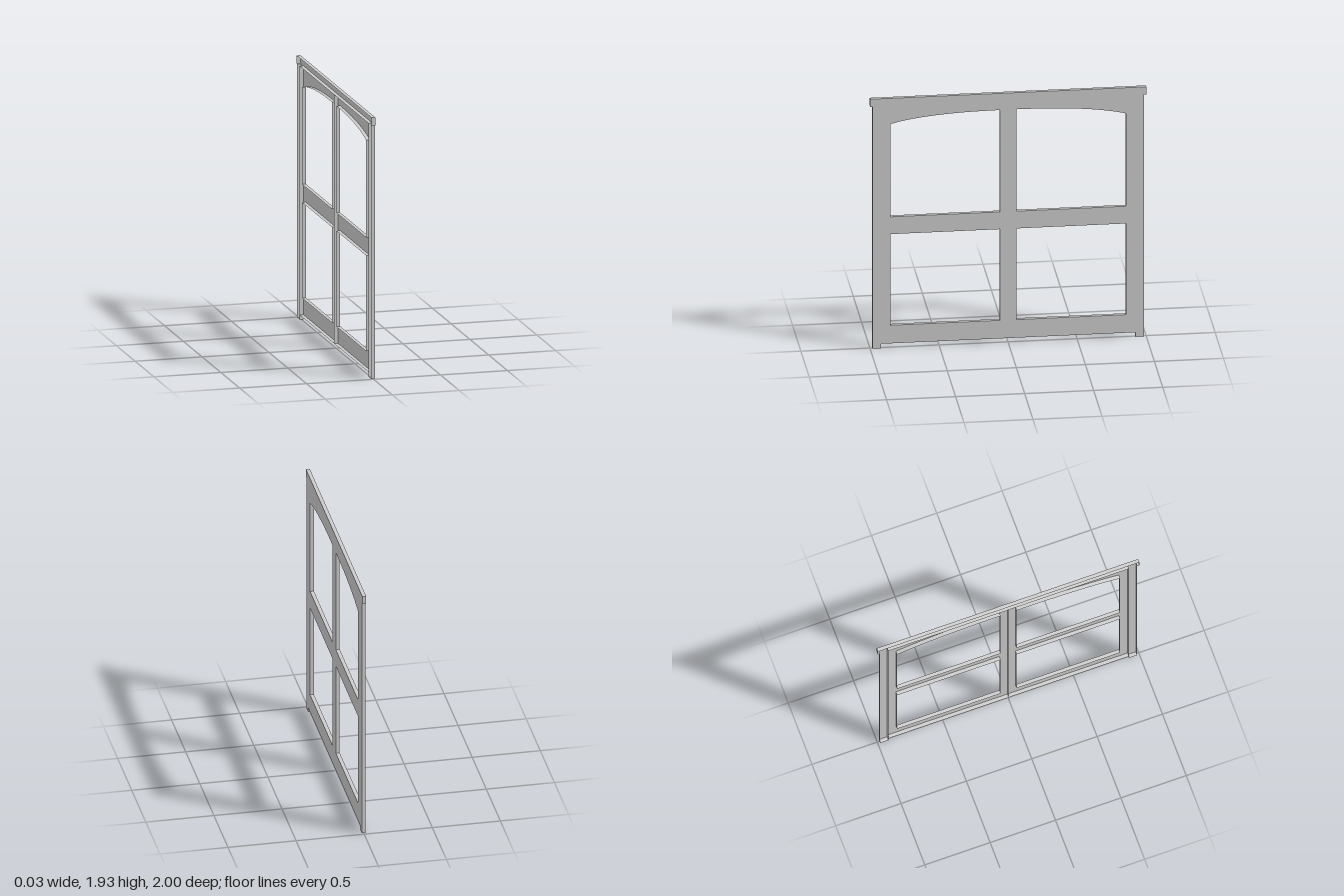
import * as THREE from 'three';

const DEPTH = 0.028;
const material = new THREE.MeshStandardMaterial({ color: 0xcccccc, side: THREE.DoubleSide });

const points = (list) => list.map(([a, b]) => new THREE.Vector2(a, b));

// Shallow open-backed shell: face towards +x, rims running back to -x
function shell(shape, name) {
  const solid = new THREE.ExtrudeGeometry(shape, { depth: DEPTH, bevelEnabled: false, curveSegments: 16 });
  const backCount = solid.groups[0].count / 2; // the back lid comes first
  const geometry = new THREE.BufferGeometry();
  for (const key of ['position', 'normal', 'uv']) {
    const { array, itemSize } = solid.attributes[key];
    geometry.setAttribute(key, new THREE.BufferAttribute(array.slice(backCount * itemSize), itemSize));
  }
  geometry.translate(0, 0, -DEPTH / 2).rotateY(Math.PI / 2);
  const mesh = new THREE.Mesh(geometry, material);
  mesh.name = name;
  return mesh;
}

// One window leaf; s mirrors it to either side of the centre line
function leaf(s, name) {
  const shape = new THREE.Shape(points([[0, 0.035], [s * 0.92, 0.035], [s * 0.92, 1.875], [0, 1.875]]));
  const inner = s * 0.061, outer = s * 0.853;

  // lower rectangular pane opening
  shape.holes.push(new THREE.Path(points([[inner, 0.175], [outer, 0.175], [outer, 0.882], [inner, 0.882]])));

  // upper pane opening with arched head
  const upper = new THREE.Path();
  upper.moveTo(inner, 1.016);
  upper.lineTo(outer, 1.016);
  upper.lineTo(outer, 1.735);
  upper.quadraticCurveTo(s * 0.6, 1.805, inner, 1.806);
  upper.closePath();
  shape.holes.push(upper);
  return shell(shape, name);
}

export function createModel() {
  const group = new THREE.Group();
  group.name = 'window';

  // Outer frame: two jambs under a slightly wider lintel
  const right = [[0.92, 1.875], [0.92, 0], [0.983, 0], [0.983, 1.875], [1, 1.875], [1, 1.935]];
  const left = right.map(([a, b]) => [-a, b]).reverse();
  group.add(shell(new THREE.Shape(points([...right, ...left])), 'frame'));

  // Pair of leaves meeting at the centre
  group.add(leaf(1, 'backLeaf'), leaf(-1, 'frontLeaf'));
  return group;
}
